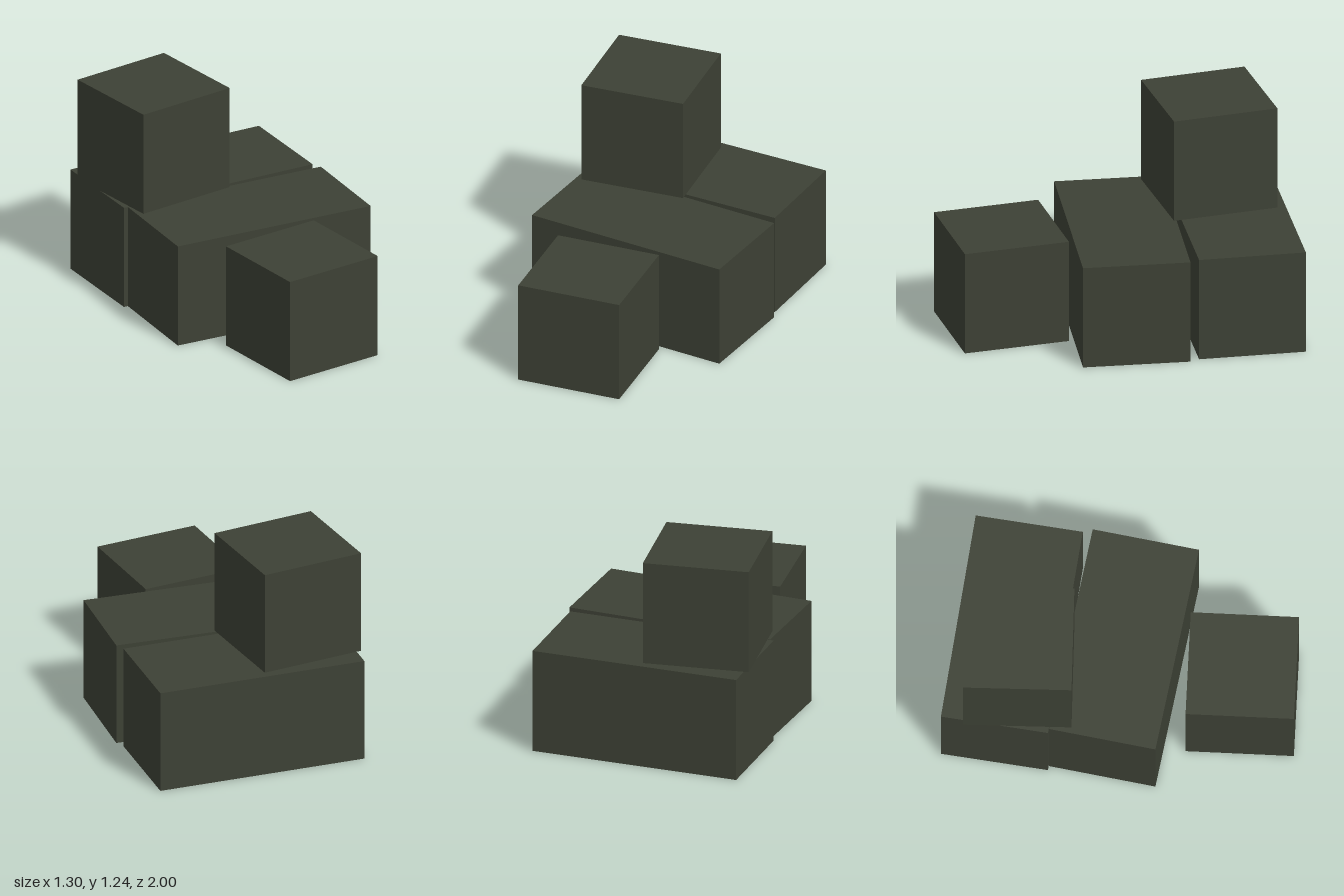
import * as THREE from 'three';

export function createModel() {
  const model = new THREE.Group();
  model.name = 'crateStack';
  const darkOlive = new THREE.MeshStandardMaterial({ color: 0x3d4135 });
  darkOlive.name = 'darkOlive';

  const S = 0.622; // crate edge; long crates are two edges wide

  // One crate standing on height y, turned about the vertical axis
  function crate(name, width, x, y, z, turn) {
    const mesh = new THREE.Mesh(new THREE.BoxGeometry(width, S, S), darkOlive);
    mesh.name = name;
    mesh.position.set(x, y + S / 2, z);
    mesh.rotation.y = turn;
    model.add(mesh);
  }

  // Two long crates side by side
  crate('backLongCrate', S * 2, 0, 0, -0.689, 0);
  crate('middleLongCrate', S * 2, 0.012, 0, -0.039, -0.041);
  // Small crates: one on the ground in front, one stacked on top
  crate('frontSmallCrate', S, -0.037, 0, 0.656, 0.113);
  crate('topSmallCrate', S, -0.3, S, -0.6, 0.134);

  return model;
}
